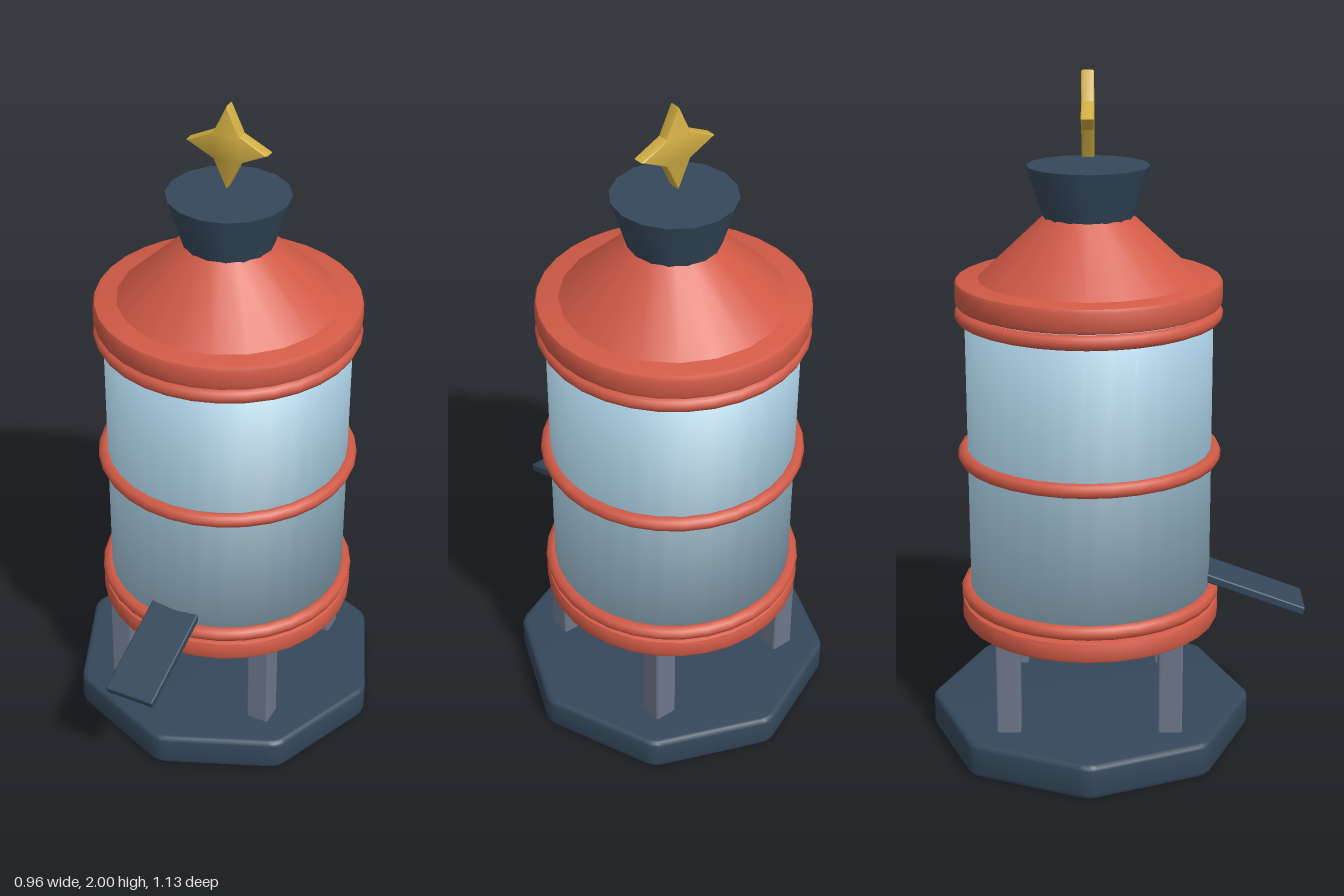
import * as THREE from 'three';
import { toCreasedNormals } from 'three/addons/utils/BufferGeometryUtils.js';
import { RoundedBoxGeometry } from 'three/addons/geometries/RoundedBoxGeometry.js';

const paint = (name, color) => {
  const m = new THREE.MeshStandardMaterial({ color });
  m.name = name;
  return m;
};

export function createModel() {
  const red = paint('red enamel', 0xd15a46);
  const navy = paint('dark navy', 0x34475a);
  const grey = paint('leg grey', 0x6c7689);
  const glass = paint('pale blue glass', 0xa6cade);
  const gold = paint('gold', 0xd0ac42);

  const model = new THREE.Group();
  model.name = 'dispenser';
  // The round tank sits a little behind the origin; the chute reaches forward.
  const tank = new THREE.Group();
  tank.name = 'tank';
  tank.position.z = -0.08;
  model.add(tank);

  const add = (name, geometry, material, x = 0, y = 0, z = 0, parent = tank) => {
    const mesh = new THREE.Mesh(geometry, material);
    mesh.name = name;
    mesh.position.set(x, y, z);
    parent.add(mesh);
    return mesh;
  };
  const lathe = (points, sides) =>
    toCreasedNormals(new THREE.LatheGeometry(points.map(([r, y]) => new THREE.Vector2(r, y)), sides), 0.6);

  // Octagonal base with softened corners and edges
  const corner = (i) => new THREE.Vector2(Math.cos(i * Math.PI / 4), Math.sin(i * Math.PI / 4)).multiplyScalar(0.488);
  const octagon = new THREE.Shape();
  for (let i = 0; i < 8; i++) {
    const c = corner(i);
    const a = c.clone().lerp(corner(i - 1), 0.08);
    const b = c.clone().lerp(corner(i + 1), 0.08);
    if (i === 0) octagon.moveTo(a.x, a.y);
    else octagon.lineTo(a.x, a.y);
    octagon.quadraticCurveTo(c.x, c.y, b.x, b.y);
  }
  octagon.closePath();
  const base = new THREE.ExtrudeGeometry(octagon, {
    depth: 0.075, bevelThickness: 0.015, bevelSize: 0.015, bevelOffset: -0.015, bevelSegments: 3, curveSegments: 4,
  });
  base.rotateX(-Math.PI / 2);
  add('base', toCreasedNormals(base, 0.6), navy, 0, 0.015);

  // Four legs
  for (const x of [-0.237, 0.237]) {
    for (const z of [-0.237, 0.237]) {
      add('leg', new RoundedBoxGeometry(0.072, 0.3, 0.072, 2, 0.008), grey, x, 0.245, z);
    }
  }

  // Bottom and top drum plates with rounded rims
  const plate = (r, h, b) => lathe([
    [0, 0], [r - b, 0], [r - b * 0.3, b * 0.3], [r, b],
    [r, h - b], [r - b * 0.3, h - b * 0.3], [r - b, h], [0, h],
  ], 32);
  add('bottomPlate', plate(0.386, 0.063, 0.012), red, 0, 0.378);
  add('topPlate', plate(0.386, 0.075, 0.014), red, 0, 1.341);

  // Glass drum, its normals easing outward at both ends
  const drum = new THREE.CylinderGeometry(0.36, 0.36, 0.92, 32, 1, true);
  const p = drum.attributes.position;
  const n = new THREE.Vector3();
  for (let i = 0; i < p.count; i++) {
    n.set(p.getX(i) / 0.36, Math.sign(p.getY(i)), p.getZ(i) / 0.36).normalize();
    drum.attributes.normal.setXYZ(i, n.x, n.y, n.z);
  }
  add('glassDrum', drum, glass, 0, 0.89);

  // Hoops around the drum
  for (const y of [0.466, 0.893, 1.316]) {
    const hoop = new THREE.TorusGeometry(0.366, 0.022, 8, 32);
    hoop.rotateX(Math.PI / 2);
    add('hoop', hoop, red, 0, y);
  }

  // Conical roof and flared cap
  add('roof', lathe([[0.326, 1.41], [0.125, 1.598], [0, 1.598]], 20), red);
  add('cap', lathe([[0, 1.59], [0.13, 1.59], [0.176, 1.737], [0, 1.737]], 16), navy);

  // Four-pointed star floating above the cap
  const star = new THREE.Shape();
  for (let i = 0; i < 8; i++) {
    const r = i % 2 ? 0.052 : 0.116;
    const a = i * Math.PI / 4;
    star[i ? 'lineTo' : 'moveTo'](r * Math.cos(a), r * Math.sin(a));
  }
  star.closePath();
  const starBody = new THREE.ExtrudeGeometry(star, {
    depth: 0.024, bevelThickness: 0.006, bevelSize: 0.004, bevelSegments: 2,
  });
  starBody.translate(0, 0, -0.012);
  add('star', toCreasedNormals(starBody, 0.6), gold, 0, 1.88);

  // Sloping chute at the front
  const chute = add('chute', new RoundedBoxGeometry(0.154, 0.026, 0.33, 2, 0.005), navy, 0, 0.461, 0.408, model);
  chute.rotation.x = 0.355;

  return model;
}
